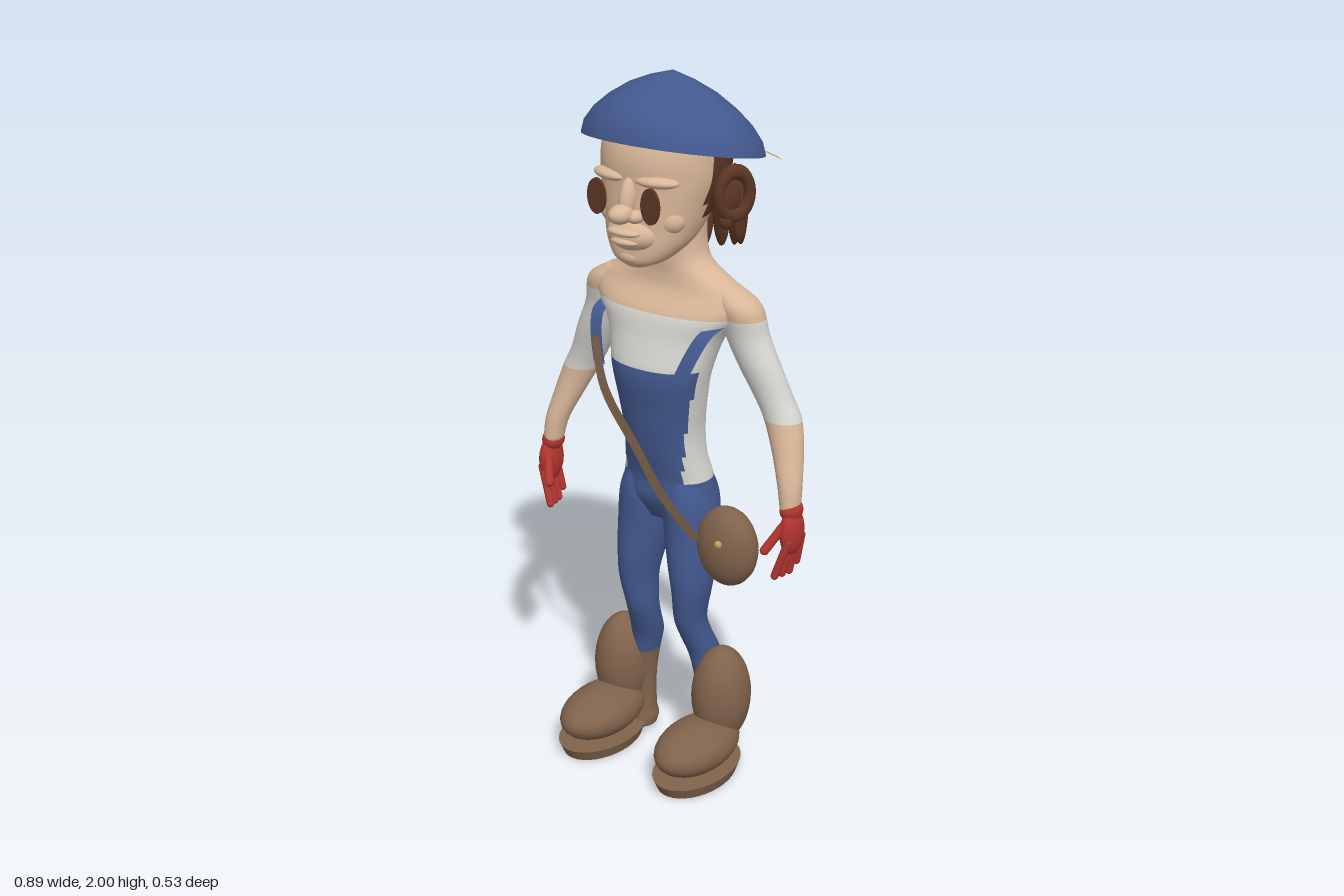
import * as THREE from 'three';

const V = (x, y, z) => new THREE.Vector3(x, y, z);
const material = (name, color, double) => {
  const m = new THREE.MeshStandardMaterial({ color });
  m.name = name;
  if (double) m.side = THREE.DoubleSide;
  return m;
};

export function createModel() {
  const model = new THREE.Group();
  model.name = 'figure';

  const blue = material('blue cloth', 0x43598f, true);
  const skin = material('skin', 0xd8b698);
  const white = material('white shirt', 0xd9d7d1);
  const red = material('red glove', 0xb3352f);
  const leather = material('brown leather', 0x80634c, true);
  const hair = material('dark brown hair', 0x5c3724);
  const straw = material('straw', 0xbfa25a, true);

  const add = (name, geometry, mat) => {
    const mesh = new THREE.Mesh(geometry, mat);
    mesh.name = name;
    model.add(mesh);
    return mesh;
  };

  // Smooth skin through horizontal sections [x, y, z, rx, rz]; pick() chooses a material per face
  function loft(name, sections, mats, pick = () => 0, power = 2, segs = 40) {
    const centre = new THREE.CatmullRomCurve3(sections.map(s => V(s[0], s[1], s[2])), false, 'catmullrom');
    const radii = new THREE.CatmullRomCurve3(sections.map(s => V(s[3], s[4], 0)), false, 'catmullrom');
    const rows = (sections.length - 1) * 5;
    const pos = [];
    const se = v => Math.sign(v) * Math.abs(v) ** (2 / power);
    for (let i = 0; i <= rows; i++) {
      const c = centre.getPoint(i / rows), r = radii.getPoint(i / rows);
      for (let j = 0; j < segs; j++) {
        const a = (j / segs) * Math.PI * 2;
        pos.push(c.x + r.x * se(Math.cos(a)), c.y, c.z + r.y * se(Math.sin(a)));
      }
    }
    const first = sections[0], last = sections[sections.length - 1];
    pos.push(...first.slice(0, 3), ...last.slice(0, 3));
    const capA = (rows + 1) * segs, capB = capA + 1;
    const up = last[1] > first[1];
    const lists = mats.map(() => []);
    const tri = (a, b, c, k) => lists[k].push(a, up ? b : c, up ? c : b);
    for (let i = 0; i < rows; i++) {
      for (let j = 0; j < segs; j++) {
        const n = (j + 1) % segs;
        const a = i * segs + j, b = i * segs + n, c = a + segs, d = b + segs;
        const mid = k => (pos[a * 3 + k] + pos[b * 3 + k] + pos[c * 3 + k] + pos[d * 3 + k]) / 4;
        const k = pick(mid(0), mid(1), mid(2));
        tri(a, c, b, k);
        tri(b, c, d, k);
        if (i === 0) tri(capA, a, b, k);
        if (i === rows - 1) tri(capB, d, c, k);
      }
    }
    const g = new THREE.BufferGeometry();
    g.setAttribute('position', new THREE.Float32BufferAttribute(pos, 3));
    g.setIndex(lists.flat());
    let start = 0;
    lists.forEach((l, k) => { g.addGroup(start, l.length, k); start += l.length; });
    g.computeVertexNormals();
    return add(name, g, mats);
  }

  // Ellipsoid
  function ball(name, mat, p, r, rot = [0, 0, 0]) {
    const mesh = add(name, new THREE.SphereGeometry(1, 28, 18), mat);
    mesh.position.set(...p);
    mesh.scale.set(...r);
    mesh.rotation.set(...rot);
    return mesh;
  }

  // Thin band between two edges
  function band(name, mat, edgeA, edgeB, steps = 24) {
    const a = new THREE.CatmullRomCurve3(edgeA), b = new THREE.CatmullRomCurve3(edgeB);
    const pos = [], idx = [];
    for (let i = 0; i <= steps; i++) {
      pos.push(...a.getPoint(i / steps).toArray(), ...b.getPoint(i / steps).toArray());
      if (i) idx.push(2 * i - 2, 2 * i - 1, 2 * i, 2 * i - 1, 2 * i + 1, 2 * i);
    }
    const g = new THREE.BufferGeometry();
    g.setAttribute('position', new THREE.Float32BufferAttribute(pos, 3));
    g.setIndex(idx);
    g.computeVertexNormals();
    return add(name, g, mat);
  }

  // Torso with trousers, bib, shirt and bare neck
  loft('torso', [
    [0, .755, 0, .09, .06], [0, .82, 0, .138, .09], [0, .88, 0, .133, .09], [0, .95, .015, .12, .09],
    [0, 1.02, .022, .116, .096], [0, 1.1, .03, .126, .1], [0, 1.2, .035, .145, .108],
    [0, 1.3, .012, .175, .106], [0, 1.37, 0, .222, .1], [0, 1.425, -.018, .232, .08],
    [0, 1.465, -.022, .165, .076], [0, 1.5, -.02, .112, .076], [0, 1.55, -.02, .092, .08], [0, 1.64, -.02, .09, .08],
  ], [blue, white, skin], (x, y, z) => y > 1.365 ? 2 : y < .88 || (y < 1.23 && z > .07) ? 0 : 1, 2.2, 48);

  // Head with hair over the back
  loft('head', [
    [0, 1.515, .135, .03, .03], [0, 1.535, .118, .075, .066], [0, 1.575, .085, .112, .1], [0, 1.62, .06, .132, .122],
    [0, 1.68, .035, .15, .145], [0, 1.74, .015, .165, .162], [0, 1.8, .008, .168, .168],
    [0, 1.86, 0, .162, .155], [0, 1.91, -.01, .13, .12], [0, 1.945, -.01, .05, .05],
  ], [skin, hair], (x, y, z) => z < .045 && y > 1.64 ? 1 : 0, 2.25, 48);
  ball('noseBridge', skin, [0, 1.705, .18], [.022, .055, .028], [-.25, 0, 0]);
  ball('noseTip', skin, [0, 1.668, .21], [.03, .026, .04]);
  ball('muzzle', skin, [0, 1.605, .145], [.08, .05, .065]);
  ball('upperLip', skin, [0, 1.618, .198], [.05, .012, .026]);
  ball('lowerLip', skin, [0, 1.592, .192], [.044, .013, .026]);
  ball('chin', skin, [0, 1.545, .155], [.05, .026, .034]);

  // Cap: dome sheared so the rim rises towards the front
  const dome = new THREE.LatheGeometry([[.254, 0], [.245, .035], [.217, .075], [.175, .113], [.12, .15], [.06, .177], [.001, .195]]
    .map(p => new THREE.Vector2(...p)), 56);
  const dp = dome.attributes.position;
  for (let i = 0; i < dp.count; i++) {
    const z = dp.getZ(i) * .86;
    dp.setXYZ(i, dp.getX(i), dp.getY(i) + .205 * z + 1.805, z - .016);
  }
  dome.computeVertexNormals();
  add('cap', dome, blue);

  // Straw brim behind the cap
  band('strawBrim', straw,
    [V(-.245, 1.765, -.17), V(-.16, 1.755, -.238), V(-.03, 1.75, -.265), V(.03, 1.75, -.265), V(.16, 1.755, -.238), V(.245, 1.765, -.17)],
    [V(-.19, 1.785, -.155), V(-.12, 1.77, -.225), V(-.03, 1.76, -.25), V(.03, 1.76, -.25), V(.12, 1.77, -.225), V(.19, 1.785, -.155)]);

  // Hanging locks around the back of the head
  for (let i = -4; i <= 4; i++) {
    const a = i * .34, f = Math.abs(i) / 4;
    ball('hairLock', hair, [Math.sin(a) * .195, 1.615 + .04 * f, -.025 - Math.cos(a) * .13],
      [.036, .13 - .035 * f, .018], [0, Math.PI - a, 0]);
  }

  for (const s of [1, -1]) {
    const side = s > 0 ? 'left' : 'right';

    // Face details
    ball(side + 'Brow', skin, [s * .075, 1.752, .155], [.06, .016, .03], [0, s * .25, 0]);
    ball(side + 'Nostril', skin, [s * .028, 1.66, .185], [.022, .018, .026]);
    ball(side + 'Cheek', skin, [s * .085, 1.645, .115], [.045, .04, .04]);
    const eye = add(side + 'Eye', new THREE.CylinderGeometry(1, 1, 1, 28), hair);
    eye.scale.set(.029, .008, .048);
    eye.rotation.x = Math.PI / 2;
    eye.position.set(s * .086, 1.7, .2);

    // Ear: rim, bowl and lobe
    const rim = add(side + 'EarRim', new THREE.TorusGeometry(.045, .016, 10, 28), hair);
    rim.scale.set(1, 1.3, 1);
    rim.rotation.y = s * (Math.PI / 2 - .5);
    rim.position.set(s * .2, 1.705, -.01);
    ball(side + 'EarBowl', hair, [s * .185, 1.695, 0], [.022, .055, .04], [0, -s * .4, 0]);
    ball(side + 'EarLobe', hair, [s * .185, 1.635, .005], [.02, .025, .022]);

    // Arm: bare shoulder, sleeve, bare forearm
    loft(side + 'Arm', [
      [s * .18, 1.445, -.02, .03, .04], [s * .215, 1.4, -.02, .062, .058], [s * .235, 1.32, -.03, .064, .053],
      [s * .272, 1.24, -.035, .062, .05], [s * .31, 1.16, -.045, .056, .048], [s * .342, 1.1, -.045, .054, .047],
      [s * .373, 1.02, -.025, .044, .042], [s * .398, .94, 0, .033, .037], [s * .408, .87, .01, .026, .033],
    ], [skin, white], (x, y) => y < 1.365 && y > 1.1 ? 1 : 0, 2, 28);

    // Glove
    ball(side + 'GloveCuff', red, [s * .41, .87, .008], [.03, .032, .037]);
    ball(side + 'Palm', red, [s * .416, .81, .012], [.027, .068, .046]);
    const finger = (name, from, to, r) => {
      const d = to.clone().sub(from);
      const m = add(side + name, new THREE.CapsuleGeometry(r, d.length(), 5, 12), red);
      m.position.copy(from).addScaledVector(d, .5);
      m.quaternion.setFromUnitVectors(V(0, 1, 0), d.normalize());
    };
    for (let i = 0; i < 4; i++) {
      const z = -.022 + i * .022;
      finger('Finger', V(s * .425, .79, z), V(s * (.408 - .006 * i), i === 0 ? .705 : .684, z * 1.2), .011);
    }
    finger('Thumb', V(s * .405, .83, .04), V(s * .372, .765, .077), .013);

    // Leg: trousers above, boot leather at the ankle
    loft(side + 'Leg', [
      [s * .07, .9, 0, .045, .07], [s * .073, .82, -.002, .073, .092], [s * .08, .72, .003, .075, .085],
      [s * .088, .62, .012, .064, .08], [s * .092, .54, .02, .053, .066], [s * .085, .45, .015, .043, .055],
      [s * .09, .39, -.005, .043, .052], [s * .1, .33, -.03, .044, .052], [s * .108, .27, -.035, .038, .046],
      [s * .11, .18, -.035, .029, .034], [s * .11, .08, -.035, .029, .034], [s * .11, .04, -.035, .034, .042], [s * .11, .015, -.03, .03, .04],
    ], [blue, leather], (x, y) => y > .275 ? 0 : 1, 2, 28);

    // Boot
    ball(side + 'BootShaft', leather, [s * .175, .215, -.012], [.083, .15, .092]);
    ball(side + 'BootFoot', leather, [s * .17, .1, .1], [.1, .07, .158]);
    const sole = add(side + 'Sole', new THREE.CylinderGeometry(1, .9, 1, 36), leather);
    sole.scale.set(.105, .034, .162);
    sole.position.set(s * .17, .018, .1);

    // Overall strap over the shoulder
    const path = [[.115, 1.21, .145], [.14, 1.28, .125], [.16, 1.335, .09], [.168, 1.352, .03], [.168, 1.352, -.07], [.16, 1.29, -.105], [.145, 1.155, -.147]];
    band(side + 'Strap', blue, path.map(p => V(s * (p[0] - .005), p[1], p[2])), path.map(p => V(s * (p[0] + .038), p[1], p[2] - .006)));
  }

  // Shoulder bag with its strap and button
  const strap = [[-.135, 1.29, .155], [-.085, 1.16, .18], [.02, 1.02, .185], [.11, .89, .18], [.21, .785, .165]];
  band('bagStrap', leather, strap.map(p => V(p[0] - .013, p[1] - .009, p[2])), strap.map(p => V(p[0] + .013, p[1] + .009, p[2])));
  ball('bag', leather, [.247, .74, .07], [.093, .116, .062]);
  ball('bagButton', straw, [.26, .772, .135], [.011, .011, .009]);

  return model;
}
